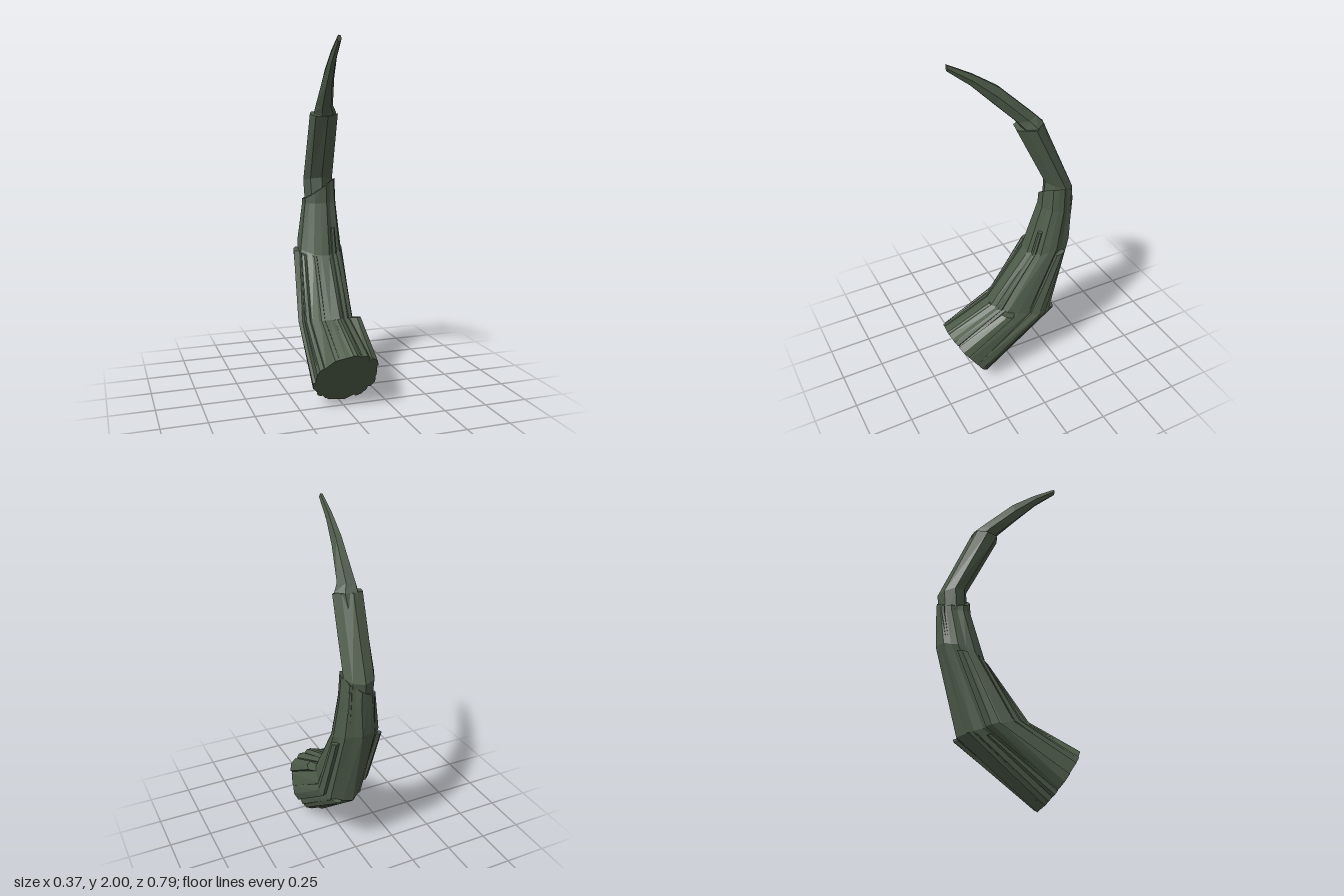
import * as THREE from 'three';

// Stations along the horn: front edge (z, y), back edge (z, y), x range,
// and how far the front and back halves lean to one diagonal
const STATIONS = [
  { f: [0.4, 0.33], b: [0.18, 0], x: [-0.188, 0.183], skew: [-0.04, 0.07] },
  { f: [0.12, 0.45], b: [-0.25, 0.365], x: [-0.155, 0.16], skew: [0, 0.25] },
  { f: [-0.115, 0.77], b: [-0.39, 0.87], x: [-0.115, 0.152], skew: [0, 0.06] },
  { f: [-0.2, 1.07], b: [-0.395, 1.05], x: [-0.068, 0.138], skew: [0, 0] },
  { f: [-0.21, 1.23], b: [-0.395, 1.18], x: [-0.06, 0.13], skew: [0, 0] },
];
const MIDDLE = [
  { f: [-0.215, 1.04], b: [-0.38, 1.0], x: [-0.05, 0.11], skew: [0, 0] },
  { f: [-0.23, 1.22], b: [-0.395, 1.18], x: [-0.058, 0.122], skew: [0.05, 0] },
  { f: [-0.055, 1.58], b: [-0.208, 1.61], x: [-0.07, 0.098], skew: [0.2, -0.08] },
];
const TIP = [
  { f: [-0.1, 1.53], b: [-0.235, 1.54], x: [-0.045, 0.085], skew: [0, 0] },
  { f: [-0.075, 1.595], b: [-0.21, 1.612], x: [-0.045, 0.092], skew: [0, -0.05] },
  { f: [-0.045, 1.63], b: [-0.17, 1.655], x: [-0.045, 0.06], skew: [0, 0] },
  { f: [0.06, 1.735], b: [0.03, 1.845], x: [-0.05, 0.016], skew: [0, 0] },
  { f: [0.18, 1.86], b: [0.165, 1.93], x: [-0.054, -0.012], skew: [0, 0] },
  { f: [0.3, 1.96], b: [0.3, 2.0], x: [-0.056, -0.03], skew: [0, 0] },
];

let seed = 7;
const rand = () => (seed = (seed * 16807) % 2147483647) / 2147483647;
const mix = THREE.MathUtils.lerp;

// Point on the horn skin: t along the stations, a around (0 = +x, 90 = front), k = scale from the axis
function skin(stations, t, a, k) {
  const i = Math.min(Math.floor(t), stations.length - 2);
  const s = stations[i], e = stations[i + 1], u = t - i;
  const at = (key, n) => mix(s[key][n], e[key][n], u);
  const r = THREE.MathUtils.degToRad(a);
  const lean = 1 - at('skew', Math.sin(r) > 0 ? 0 : 1) * Math.sin(2 * r);
  const c = Math.cos(r) * k * lean, d = Math.sin(r) * k * lean;
  const mid = (p, q, w) => (p + q) / 2 + ((p - q) / 2) * w;
  return [mid(at('x', 1), at('x', 0), c), mid(at('f', 1), at('b', 1), d), mid(at('f', 0), at('b', 0), d)];
}

// Join closed rings into a capped faceted solid
function loft(rings) {
  const n = rings[0].length, pos = [], index = [];
  rings.forEach((ring) => ring.forEach((p) => pos.push(...p)));
  for (let i = 0; i < rings.length - 1; i++) {
    for (let j = 0; j < n; j++) {
      const a = i * n + j, b = i * n + ((j + 1) % n);
      index.push(a, a + n, b, b, a + n, b + n);
    }
  }
  [0, rings.length - 1].forEach((i) => {
    const c = pos.length / 3;
    for (let k = 0; k < 3; k++) pos.push(rings[i].reduce((sum, p) => sum + p[k], 0) / n);
    for (let j = 0; j < n; j++) {
      const a = i * n + j, b = i * n + ((j + 1) % n);
      if (i === 0) index.push(c, a, b);
      else index.push(c, b, a);
    }
  });
  const g = new THREE.BufferGeometry();
  g.setAttribute('position', new THREE.Float32BufferAttribute(pos, 3));
  g.setIndex(index);
  const flat = g.toNonIndexed();
  flat.computeVertexNormals();
  return flat;
}

// Sleeve of the horn with shallow lengthwise grooves; slant cuts its upper end lower on the -x side
function sleeve(stations, sides, rough, slant) {
  const groove = Array.from({ length: sides }, (_, j) => (j % 2 ? 1 - rough * rand() : 1));
  const last = stations.length - 1;
  return loft(stations.map((_, i) => groove.map((g, j) => {
    const a = (j * 360) / sides;
    const cut = i === last ? (slant * (1 - Math.cos(THREE.MathUtils.degToRad(a)))) / 2 : 0;
    return skin(stations, i - cut, a, g - rough * 0.3 * rand() * (j % 2));
  })));
}

// Raised splinter lying along the skin, ending in a blunt step
function splinter(t0, t1, a, width, k0, k1) {
  const cuts = [t0];
  for (let t = Math.floor(t0) + 1; t < t1; t++) cuts.push(t);
  cuts.push(t1);
  return loft(cuts.map((t) => {
    const u = (t - t0) / (t1 - t0), k = mix(k0, k1, u), w = width * mix(1, 0.75, u);
    return [
      skin(STATIONS, t, a - w, 0.8),
      skin(STATIONS, t, a - w * 0.8, k * 0.97),
      skin(STATIONS, t, a + w * 0.1, k),
      skin(STATIONS, t, a + w, k * 0.95),
      skin(STATIONS, t, a + w * 0.9, 0.8),
    ];
  }));
}

export function createModel() {
  const group = new THREE.Group();
  const horn = new THREE.MeshStandardMaterial({ color: 0x4e5c4a, flatShading: true });
  horn.name = 'mossy grey green';
  const add = (name, geometry) => {
    const mesh = new THREE.Mesh(geometry, horn);
    mesh.name = name;
    group.add(mesh);
  };

  // Three overlapping sleeves
  add('lowerHorn', sleeve(STATIONS, 18, 0.11, 0.8));
  add('middleHorn', sleeve(MIDDLE, 8, 0.08, 0));
  add('hornTip', sleeve(TIP, 6, 0.08, 0));

  // Splinters: start, end, angle, half width, lift at start and end
  const splinters = [
    [0, 1.9, 196, 16, 1.02, 1.2],
    [0, 1.9, -17, 15, 1.03, 1.13],
    [0, 1.0, 36, 14, 1.06, 1.3],
    [0, 1.98, 118, 8, 1.01, 1.06],
    [0, 1.95, 150, 9, 1.02, 1.1],
    [0, 1.0, 86, 8, 0.99, 1.01],
    [0, 2.5, 60, 9, 1.01, 1.03],
    [0, 1.0, 250, 10, 1.01, 1.02],
    [0, 1.02, 310, 12, 1.02, 1.06],
    [0, 0.9, 222, 8, 1.04, 1.02],
    [1.2, 3.6, 318, 9, 0.9, 1.05],
    [1.3, 3.3, 232, 9, 0.9, 1.05],
  ];
  splinters.forEach((s, i) => add('splinter' + (i + 1), splinter(...s)));

  // Settle on the ground and centre
  const box = new THREE.Box3().setFromObject(group);
  const c = box.getCenter(new THREE.Vector3());
  group.children.forEach((m) => m.geometry.translate(-c.x, -box.min.y, -c.z));
  return group;
}
